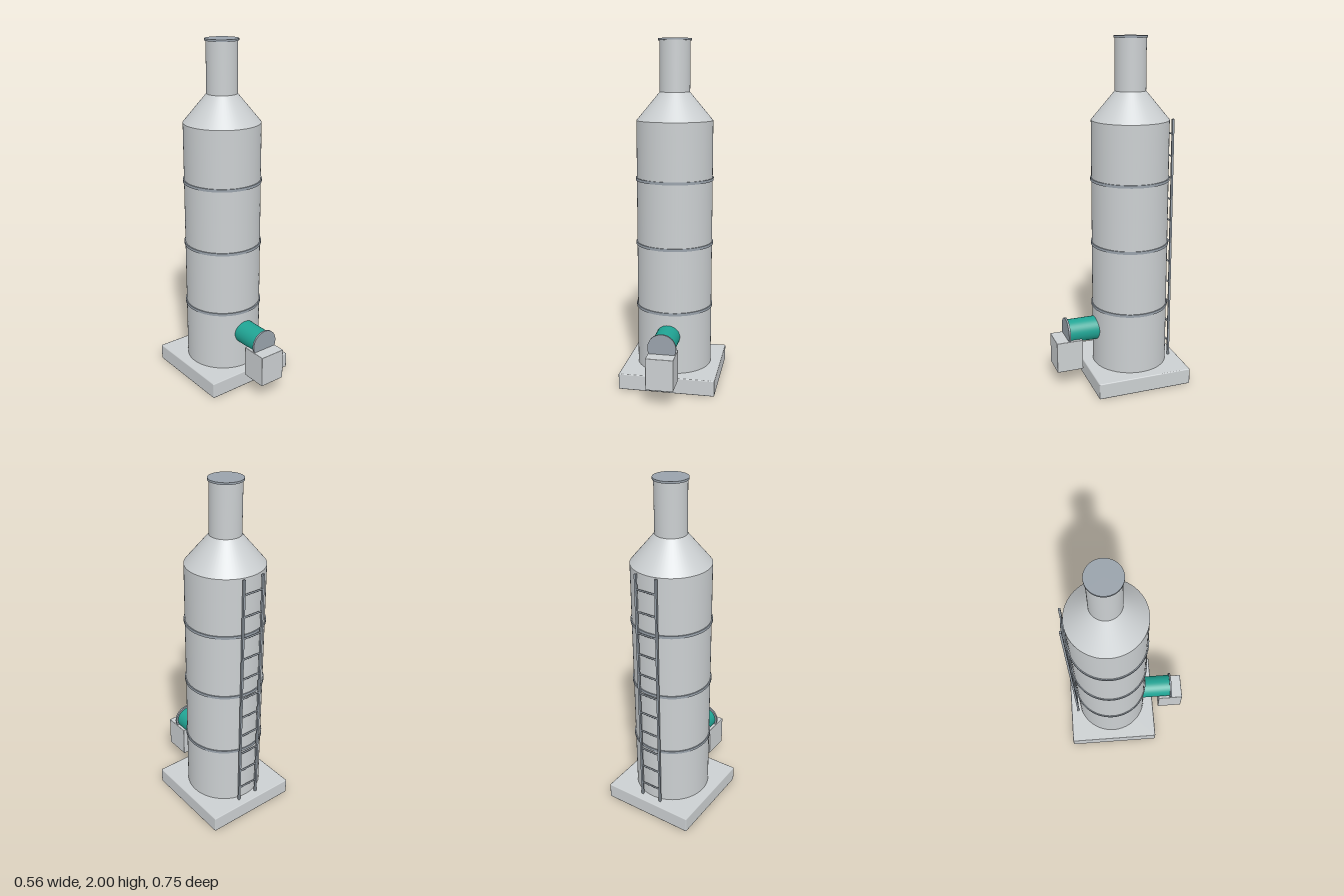
import * as THREE from 'three';
import { RoundedBoxGeometry } from 'three/addons/geometries/RoundedBoxGeometry.js';

const TOWER_Z = -0.095;

export function createModel() {
  const model = new THREE.Group();
  model.name = 'exhaustTower';

  const material = (name, color) => {
    const m = new THREE.MeshStandardMaterial({ color });
    m.name = name;
    return m;
  };
  const paleGrey = material('paleGrey', 0xcbcfd1);
  const steel = material('steelGrey', 0x99a2ab);
  const teal = material('teal', 0x20a494);

  const add = (name, geometry, mat, x, y, z, parent = model) => {
    const mesh = new THREE.Mesh(geometry, mat);
    mesh.name = name;
    mesh.position.set(x, y, z);
    parent.add(mesh);
    return mesh;
  };
  // Upright cylinder on the tower axis between two heights
  const drum = (name, rTop, rBottom, y0, y1, mat, open = false) =>
    add(name, new THREE.CylinderGeometry(rTop, rBottom, y1 - y0, 64, 1, open), mat, 0, (y0 + y1) / 2, TOWER_Z);

  // Foundation slab with a small chamfer
  add('baseSlab', new RoundedBoxGeometry(0.562, 0.095, 0.562, 1, 0.006), paleGrey, 0, 0.0475, TOWER_Z);

  // Tower body, cone and chimney
  drum('towerBody', 0.22, 0.22, 0.094, 1.546, paleGrey);
  drum('towerCone', 0.087, 0.22, 1.546, 1.705, paleGrey, true);
  drum('chimney', 0.087, 0.087, 1.705, 1.995, paleGrey, true);
  drum('chimneyCap', 0.094, 0.094, 1.989, 2, steel);

  // Reinforcing hoops
  for (const y of [0.455, 0.834, 1.212]) drum('hoop', 0.226, 0.226, y - 0.008, y + 0.008, steel);

  // Inlet duct, its flange and the fan housing below
  const duct = new THREE.CylinderGeometry(0.069, 0.069, 0.2, 48).rotateX(Math.PI / 2);
  add('inletDuct', duct, teal, 0, 0.318, 0.196);
  const flange = new THREE.CylinderGeometry(0.081, 0.081, 0.011, 48).rotateX(Math.PI / 2);
  add('ductFlange', flange, steel, 0, 0.318, 0.298);
  add('fanHousing', new RoundedBoxGeometry(0.156, 0.184, 0.156, 1, 0.003), paleGrey, 0, 0.192, 0.298);

  // Service ladder up the back
  const ladder = new THREE.Group();
  ladder.name = 'ladder';
  model.add(ladder);
  const rail = new THREE.BoxGeometry(0.012, 1.452, 0.012);
  for (const side of [-1, 1]) add('ladderRail', rail, steel, side * 0.063, 0.82, -0.328, ladder);
  const rung = new THREE.CylinderGeometry(0.005, 0.005, 0.126, 8).rotateZ(Math.PI / 2);
  for (let i = 0; i < 11; i++) add('ladderRung', rung, steel, 0, 0.185 + i * 0.1275, -0.328, ladder);

  return model;
}
